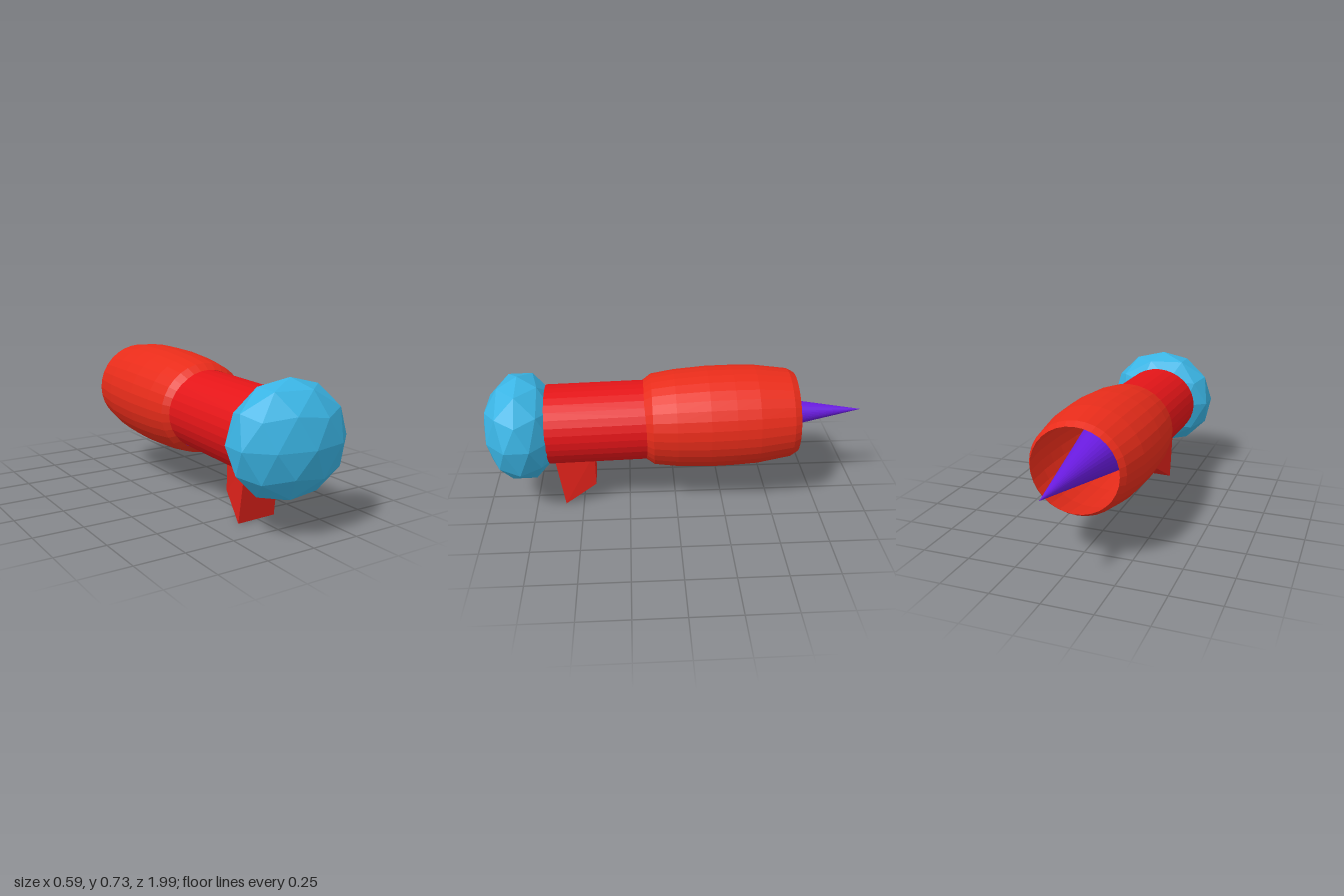
import * as THREE from 'three';

const paint = (color, side = THREE.FrontSide) => {
  const m = new THREE.MeshStandardMaterial({ flatShading: true, side });
  m.color.set(color);
  return m;
};

function part(name, geometry, material, x = 0, y = 0, z = 0) {
  const mesh = new THREE.Mesh(geometry, material);
  mesh.name = name;
  mesh.position.set(x, y, z);
  return mesh;
}

export function createModel() {
  const model = new THREE.Group();
  model.name = 'rocketBlaster';

  // Everything on the long axis leans slightly: nose low, tail high
  const hull = new THREE.Group();
  hull.name = 'hull';
  hull.position.set(-0.01, 0.459, 0);
  hull.rotation.x = 0.025;
  model.add(hull);

  // Body tube, slightly wider than tall
  const tube = new THREE.CylinderGeometry(1, 1, 0.52, 32);
  tube.rotateX(Math.PI / 2).scale(0.222, 0.204, 1);
  hull.add(part('bodyTube', tube, paint(0xe41518), 0, 0, 0.405));

  // Barrel-shaped shroud, open at both ends
  const profile = [
    [0.207, -0.16], [0.236, -0.12], [0.253, 0], [0.263, 0.17],
    [0.262, 0.3], [0.257, 0.42], [0.231, 0.595], [0.211, 0.63],
  ].map(([r, d]) => new THREE.Vector2(r, d));
  const shroud = new THREE.LatheGeometry(profile, 32);
  shroud.rotateX(-Math.PI / 2).scale(1.05, 1, 1);
  hull.add(part('shroud', shroud, paint(0xe82c1a, THREE.DoubleSide)));

  // Long spike starting at the tube's end, running out through the shroud
  const spike = new THREE.ConeGeometry(0.208, 1.14, 32);
  spike.rotateX(-Math.PI / 2);
  hull.add(part('spike', spike, paint(0x6a1be0), 0, -0.004, -0.42));

  // Faceted nose: an icosphere stood on one of its corners, flattened in z
  const nose = new THREE.IcosahedronGeometry(1, 1);
  nose.rotateZ(-Math.atan(2 / (1 + Math.sqrt(5)))).scale(0.308, 0.283, 0.201);
  const noseMesh = part('nose', nose, paint(0x3ab4e4), 0, 0.44, 0.797);
  noseMesh.rotation.x = 0.02;
  model.add(noseMesh);

  // Grip: a box whose corners are pulled to a slanted foot, narrower at the back
  const grip = new THREE.BoxGeometry(2, 2, 2);
  const p = grip.attributes.position;
  for (let i = 0; i < p.count; i++) {
    const left = p.getX(i) > 0, top = p.getY(i) > 0, front = p.getZ(i) > 0;
    const x = front ? (left ? (top ? 0.085 : 0.095) : -0.115) : (left ? 0.07 : -0.07);
    const y = top ? 0.3 : front ? (left ? 0.005 : 0) : 0.11;
    const z = front ? (top ? 0.642 : 0.595) : 0.43;
    p.setXYZ(i, x, y, z);
  }
  grip.computeVertexNormals();
  model.add(part('grip', grip, paint(0xe0221a)));

  return model;
}
